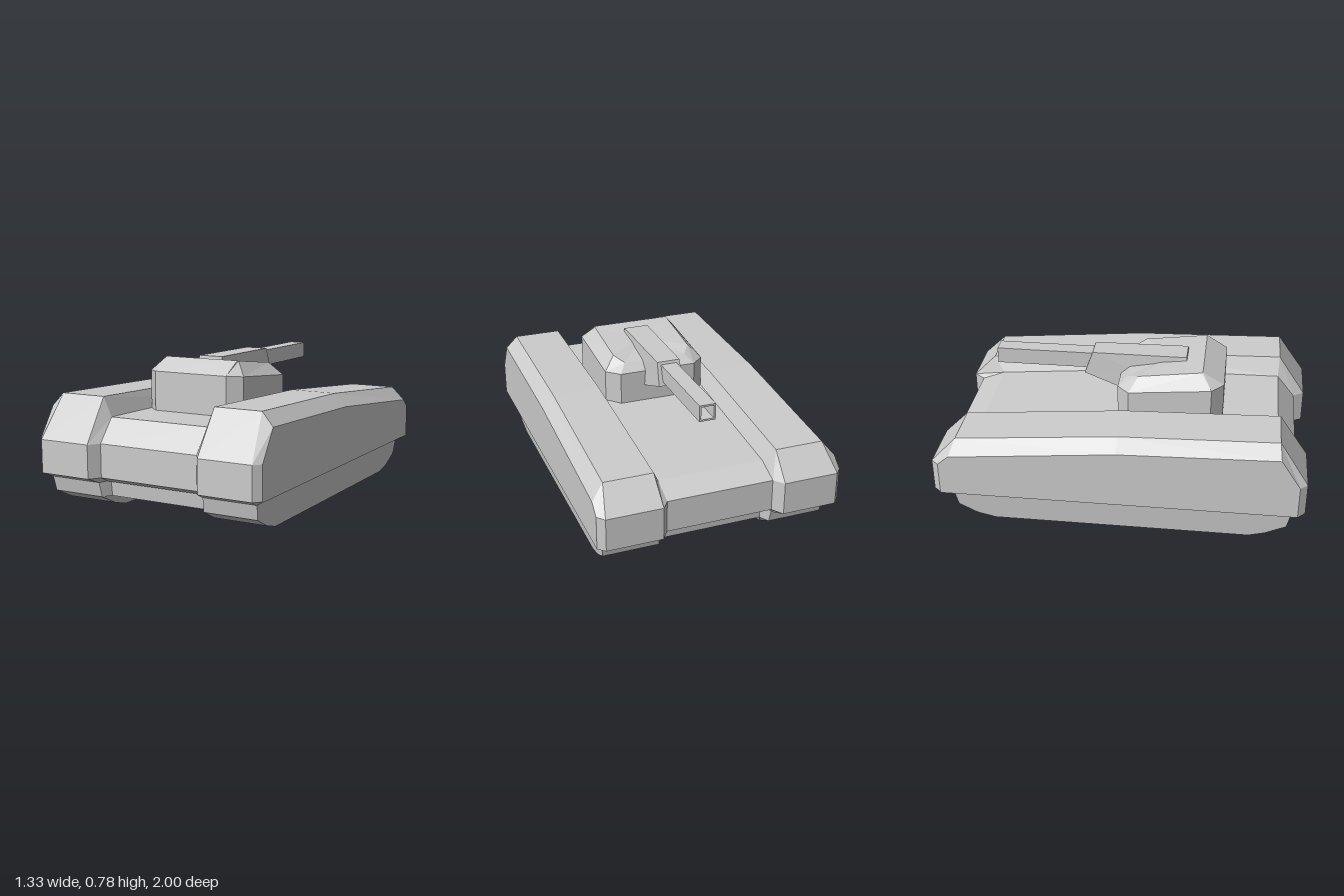
import * as THREE from 'three';

const grey = new THREE.MeshStandardMaterial({ color: 0xcccccc, flatShading: true, side: THREE.DoubleSide });

// Skin a row of equal-length rings of [x, y, z] points and close both ends
function loft(name, rings) {
  const tris = [];
  const n = rings[0].length;
  for (let r = 0; r < rings.length - 1; r++) {
    for (let i = 0; i < n; i++) {
      const j = (i + 1) % n;
      const a = rings[r][i], b = rings[r][j], c = rings[r + 1][j], d = rings[r + 1][i];
      tris.push([a, b, c], [a, c, d]);
    }
  }
  const cap = (ring, flip) => {
    const mid = [0, 1, 2].map(k => ring.reduce((s, p) => s + p[k], 0) / n);
    ring.forEach((p, i) => {
      const q = ring[(i + 1) % n];
      tris.push(flip ? [mid, q, p] : [mid, p, q]);
    });
  };
  cap(rings[0], true);
  cap(rings[rings.length - 1], false);
  // Turn the faces outward if the rings ran the other way
  const v = p => new THREE.Vector3(...p);
  const volume = tris.reduce((s, [a, b, c]) => s + v(a).dot(v(b).cross(v(c))), 0);
  if (volume < 0) tris.forEach(t => t.reverse());
  const geo = new THREE.BufferGeometry();
  geo.setAttribute('position', new THREE.Float32BufferAttribute(tris.flat(2), 3));
  geo.computeVertexNormals();
  const mesh = new THREE.Mesh(geo, grey);
  mesh.name = name;
  return mesh;
}

// Rings for one half, mirrored across x = 0
const mirrored = half => [
  ...half.map(r => r.map(([x, y, z]) => [-x, y, z])).reverse(),
  ...half,
];

// Side profile [z, y] placed at x, which may be a number or one value per point
const ringAt = (x, profile) => profile.map(([z, y], i) => [Array.isArray(x) ? x[i] : x, y, z]);

export function createModel() {
  const tank = new THREE.Group();
  tank.name = 'tank';

  // Upper hull: low centre deck between two raised, chamfered side pods
  const deck = [[.94, .37], [.84, .495], [0, .485], [-.81, .415], [-.94, .365],
    [-.94, .19], [-.88, .16], [.88, .16], [.94, .19]];
  const pod = [[1, .37], [.845, .6], [0, .575], [-.87, .5], [-1, .37],
    [-1, .19], [-.93, .16], [.93, .16], [1, .19]];
  const podSide = [[.96, .37], [.855, .53], [0, .505], [-.9, .42], [-.96, .37],
    [-.96, .19], [-.96, .185], [.96, .185], [.96, .19]];
  tank.add(loft('upperHull', mirrored([
    ringAt(.29, deck),
    ringAt([.33, .335, .335, .335, .33, .33, .315, .315, .33], pod),
    ringAt([.63, .6, .6, .6, .63, .63, .62, .62, .63], pod),
    ringAt(.665, podSide),
  ])));

  // Lower hull: raised belly between two tracks with upswept ends
  const belly = [[.87, .17], [.86, .08], [.79, .08], [.71, .08],
    [-.68, .08], [-.76, .08], [-.83, .08], [-.84, .17]];
  const track = [[.93, .17], [.91, .08], [.8, .025], [.71, 0],
    [-.68, 0], [-.78, .025], [-.88, .08], [-.9, .17]];
  tank.add(loft('tracksAndBelly', mirrored([
    ringAt(.28, belly),
    ringAt([.316, .31, .307, .305, .305, .307, .31, .316], track),
    ringAt([.62, .612, .607, .605, .605, .607, .612, .62], track),
  ])));

  // Turret: eight-sided wall with a sloping bevelled roof
  const octagon = (back, rearSide, frontSide, front) => {
    const right = [back, rearSide, frontSide, front];
    return [...right, ...right.map(([x, y, z]) => [-x, y, z]).reverse()];
  };
  tank.add(loft('turret', [
    octagon([.22, .45, .535], [.29, .45, .47], [.29, .45, .02], [.22, .45, -.045]),
    octagon([.22, .705, .535], [.29, .7, .47], [.29, .66, .02], [.22, .66, -.045]),
    octagon([.222, .775, .418], [.225, .773, .41], [.225, .73, .07], [.18, .705, .005]),
  ]));

  // Gun mount: wedge block sunk into the roof
  const mount = [[.33, .7], [.32, .778], [-.205, .775], [-.25, .65], [-.05, .575], [.1, .6]];
  tank.add(loft('gunMount', mirrored([
    ringAt([.085, .07, .065, .07, .08, .085], mount),
  ])));

  // Barrel: hollow square tube
  const square = (s, h, P) => new P([[-s, -h], [s, -h], [s, h], [-s, h]].map(p => new THREE.Vector2(...p)));
  const bore = square(.045, .045, THREE.Shape);
  bore.holes.push(square(.035, .035, THREE.Path));
  const barrel = new THREE.Mesh(new THREE.ExtrudeGeometry(bore, { depth: .55, bevelEnabled: false }), grey);
  barrel.name = 'barrel';
  barrel.position.set(0, .715, -.75);
  tank.add(barrel);

  return tank;
}
